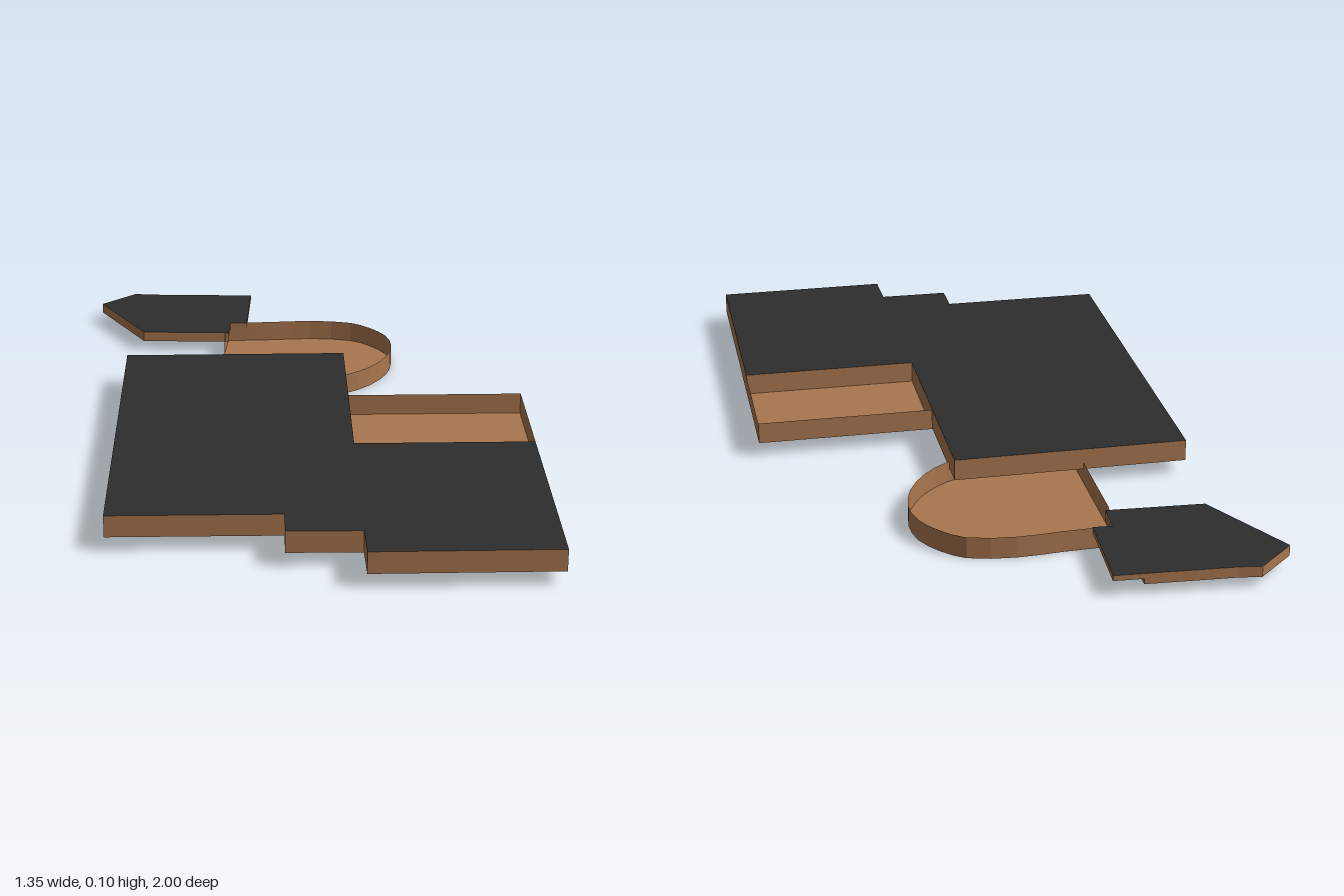
import * as THREE from 'three';

const wallMat = new THREE.MeshStandardMaterial({ color: 0xa8764f, flatShading: true, side: THREE.DoubleSide });
wallMat.name = 'brown wall';
const roofMat = new THREE.MeshStandardMaterial({ color: 0x2d2d2d, flatShading: true, side: THREE.DoubleSide });
roofMat.name = 'dark roof';

// Horizontal plate from an outline of [x, z] points
function plate(name, outline, y, material) {
  const shape = new THREE.Shape(outline.map(([x, z]) => new THREE.Vector2(x, -z)));
  const geometry = new THREE.ShapeGeometry(shape).rotateX(-Math.PI / 2).translate(0, y, 0);
  const mesh = new THREE.Mesh(geometry, material);
  mesh.name = name;
  return mesh;
}

// Thin upright walls along an outline running clockwise seen from above
function walls(name, outline, y0, y1, closed = true) {
  const pos = [];
  const count = closed ? outline.length : outline.length - 1;
  for (let i = 0; i < count; i++) {
    const [ax, az] = outline[i];
    const [bx, bz] = outline[(i + 1) % outline.length];
    pos.push(ax, y0, az, bx, y1, bz, bx, y0, bz);
    pos.push(ax, y0, az, ax, y1, az, bx, y1, bz);
  }
  const geometry = new THREE.BufferGeometry();
  geometry.setAttribute('position', new THREE.Float32BufferAttribute(pos, 3));
  geometry.computeVertexNormals();
  const mesh = new THREE.Mesh(geometry, wallMat);
  mesh.name = name;
  return mesh;
}

// Walls with a floor and, where wanted, a roof
function block(name, outline, y0, y1, { roof = true, wallPath = null } = {}) {
  const group = new THREE.Group();
  group.name = name;
  group.add(plate(name + 'Floor', outline, y0, wallMat));
  group.add(walls(name + 'Walls', wallPath || outline, y0, y1, !wallPath));
  if (roof) group.add(plate(name + 'Roof', outline, y1, roofMat));
  return group;
}

export function createModel() {
  const model = new THREE.Group();
  model.name = 'building';

  // Stepped main hall
  model.add(block('mainHall', [
    [-0.54, -0.33], [0.11, -0.365], [0.145, 0.325], [0.64, 0.30], [0.673, 0.97],
    [0.18, 0.997], [0.172, 0.877], [-0.025, 0.885], [-0.03, 0.785], [-0.488, 0.807],
  ], 0.04, 0.10));

  // Open courtyard in the corner of the hall
  const court = [[0.128, -0.025], [0.623, -0.05], [0.64, 0.30], [0.145, 0.325]];
  model.add(block('courtyard', court, 0.04, 0.10, { roof: false, wallPath: court.slice(0, 3) }));

  // Open round-ended terrace, its tail running under the hall
  const arc = new THREE.CatmullRomCurve3([
    [-0.26, -0.73], [-0.12, -0.742], [0, -0.755], [0.13, -0.74], [0.19, -0.695],
    [0.24, -0.625], [0.257, -0.54], [0.24, -0.445], [0.19, -0.355], [0.12, -0.29], [0.04, -0.255],
  ].map(([x, z]) => new THREE.Vector3(x, 0, z))).getPoints(20).map((p) => [p.x, p.z]);
  model.add(block('roundTerrace', [...arc, [0.053, -0.08], [-0.235, -0.063], [-0.264, -0.62]],
    0, 0.06, { roof: false }));

  // Small pointed pavilion: roof slab over a narrower base
  const tip = [[-0.52, -0.64], [-0.678, -0.9], [-0.58, -1], [-0.52, -0.995]];
  model.add(block('pavilion', [...tip, [-0.2, -0.995], [-0.2, -0.73], [-0.252, -0.73], [-0.252, -0.64]],
    0.045, 0.06));
  model.add(block('pavilionBase', [...tip, [-0.28, -0.995], [-0.252, -0.64]],
    0.03, 0.045, { roof: false }));

  return model;
}
